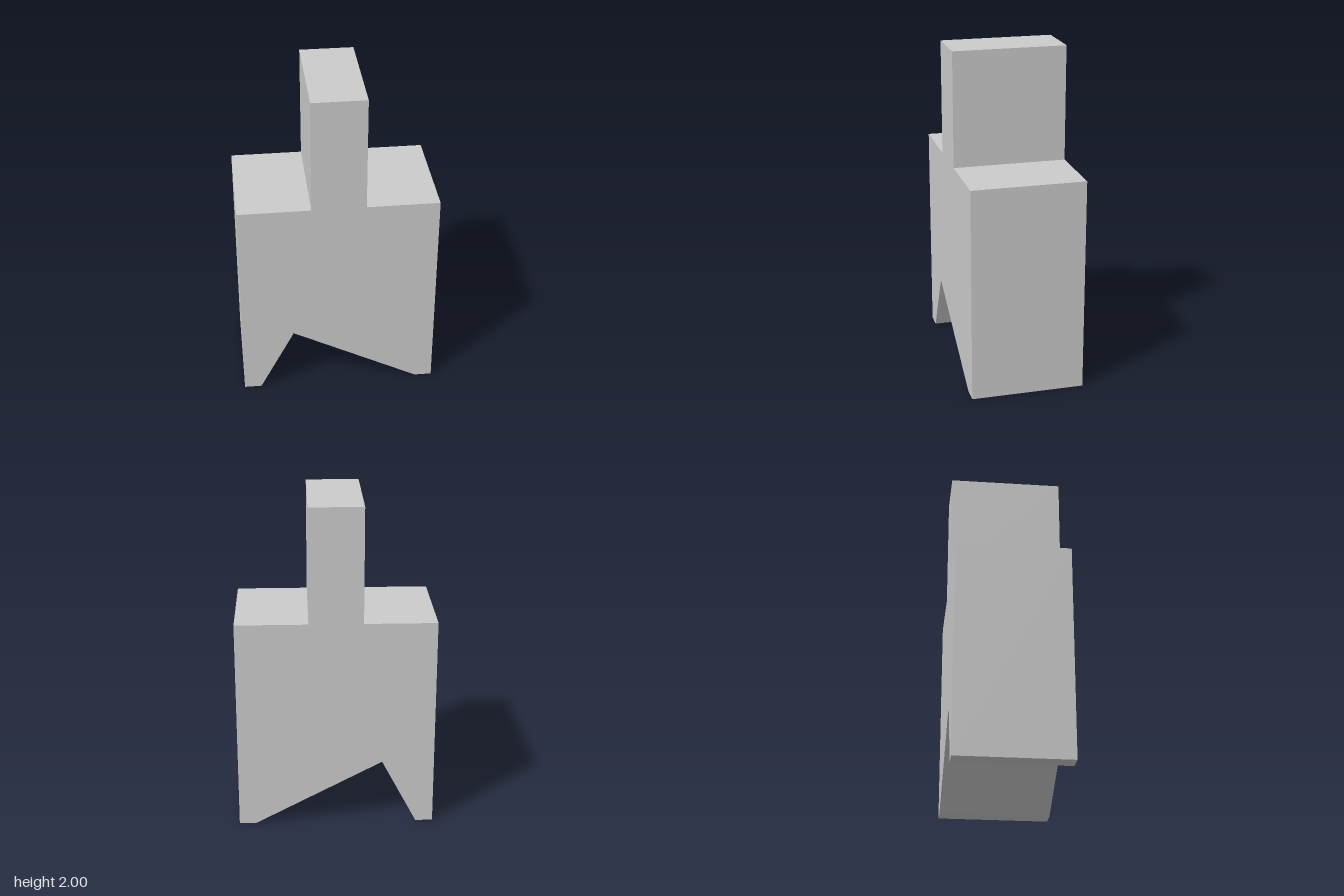
import * as THREE from 'three';

export function createModel() {
  const group = new THREE.Group();
  const depth = 0.684;

  // Front outline: notched foot, wide body, narrow upright tang
  const outline = [
    [-0.597, 0], [-0.492, 0], [-0.28, 0.407], [0.492, 0], [0.597, 0],
    [0.597, 1.302], [0.162, 1.302], [0.162, 2], [-0.162, 2],
    [-0.162, 1.302], [-0.597, 1.302],
  ].map(([x, y]) => new THREE.Vector2(x, y));

  // Straight extrusion centred front to back
  const geometry = new THREE.ExtrudeGeometry(new THREE.Shape(outline), {
    depth, bevelEnabled: false,
  });
  geometry.translate(0, 0, -depth / 2);

  const body = new THREE.Mesh(
    geometry,
    new THREE.MeshStandardMaterial({ color: 0xcccccc, flatShading: true }),
  );
  body.name = 'notchedBlock';
  group.add(body);
  return group;
}
